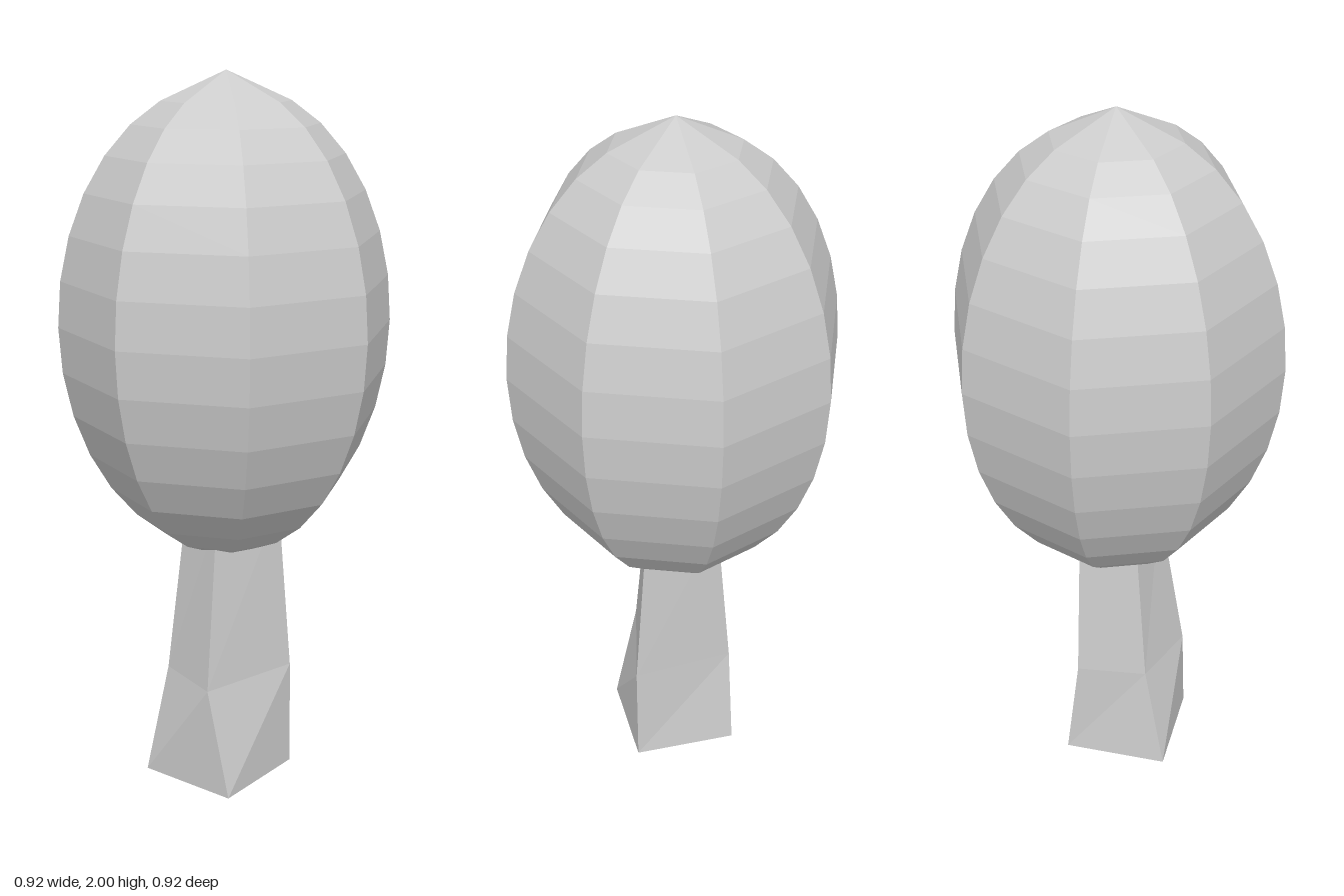
import * as THREE from 'three';

const material = () => new THREE.MeshStandardMaterial({ color: 0xcccccc, flatShading: true });

// Eight-sided egg-shaped crown with a pointed tip
function crown() {
  const points = [new THREE.Vector2(0, 0.67)];
  for (let i = 1; i <= 14; i++) {
    const a = (i * Math.PI) / 16;
    points.push(new THREE.Vector2(0.46 * Math.sin(a), 1.32 - 0.65 * Math.cos(a)));
  }
  points.push(new THREE.Vector2(0, 2));
  const mesh = new THREE.Mesh(new THREE.LatheGeometry(points, 8), material());
  mesh.name = 'crown';
  return mesh;
}

// Irregular tapering trunk lofted through four-cornered sections
function trunk() {
  // corners in order: front right, back right, back left, front left (as x, z)
  const sections = [
    { y: 0, corners: [[0.15, 0.185], [0.15, -0.115], [-0.15, -0.115], [-0.15, 0.185]] },
    { y: 0.31, corners: [[0.08, 0.19], [0.15, -0.11], [-0.145, -0.08], [-0.12, 0.12]] },
    { y: 0.8, corners: [[0.055, 0.115], [0.113, -0.098], [-0.102, -0.08], [-0.083, 0.077]] },
  ];
  const positions = sections.flatMap(({ y, corners }) => corners.flatMap(([x, z]) => [x, y, z]));
  const index = [0, 2, 1, 0, 3, 2, 8, 9, 10, 8, 10, 11]; // end caps
  for (let s = 0; s < 2; s++) {
    for (let i = 0; i < 4; i++) {
      const a = s * 4 + i;
      const b = s * 4 + ((i + 1) % 4);
      index.push(a, b, b + 4, a, b + 4, a + 4);
    }
  }
  const geometry = new THREE.BufferGeometry();
  geometry.setAttribute('position', new THREE.Float32BufferAttribute(positions, 3));
  geometry.setIndex(index);
  geometry.computeVertexNormals();
  const mesh = new THREE.Mesh(geometry, material());
  mesh.name = 'trunk';
  return mesh;
}

export function createModel() {
  const group = new THREE.Group();
  group.name = 'tree';
  group.add(trunk(), crown());
  return group;
}
